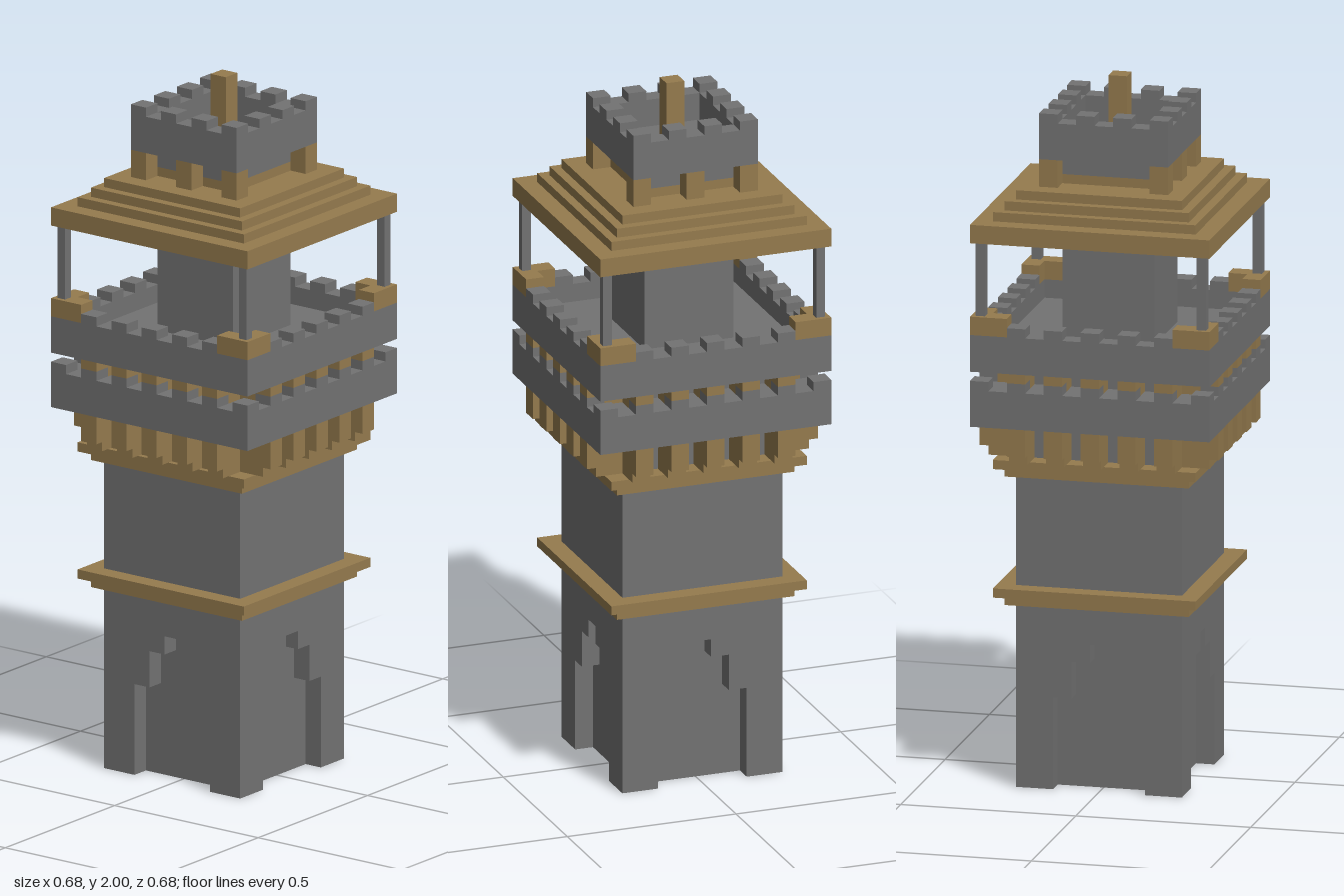
import * as THREE from 'three';

// One block of the stepped masonry
const U = 2 / 76;

export function createModel() {
  const stone = new THREE.MeshStandardMaterial({ color: 0x737373 });
  stone.name = 'greyStone';
  const timber = new THREE.MeshStandardMaterial({ color: 0x957b4e });
  timber.name = 'ochreTimber';

  const tower = new THREE.Group();
  tower.name = 'tower';
  tower.scale.setScalar(U);

  // Box given by its ranges, in blocks
  function box(parent, name, mat, x0, x1, y0, y1, z0, z1) {
    const m = new THREE.Mesh(new THREE.BoxGeometry(x1 - x0, y1 - y0, z1 - z0), mat);
    m.position.set((x0 + x1) / 2, (y0 + y1) / 2, (z0 + z1) / 2);
    m.name = name;
    parent.add(m);
    return m;
  }
  // Centred square slab
  const slab = (name, mat, half, y0, y1) =>
    box(tower, name, mat, -half, half, y0, y1, -half, half);

  const square = (Type, h) => new Type([
    new THREE.Vector2(-h, -h), new THREE.Vector2(h, -h),
    new THREE.Vector2(h, h), new THREE.Vector2(-h, h)]);

  // Square ring with an open middle
  function ring(name, mat, half, inner, y0, y1) {
    const shape = square(THREE.Shape, half);
    shape.holes.push(square(THREE.Path, inner));
    const geo = new THREE.ExtrudeGeometry(shape, { depth: y1 - y0, bevelEnabled: false });
    geo.rotateX(-Math.PI / 2);
    const m = new THREE.Mesh(geo, mat);
    m.position.y = y0;
    m.name = name;
    tower.add(m);
  }

  // Repeat a part on all four sides
  function fourSides(name, build) {
    for (let i = 0; i < 4; i++) {
      const g = new THREE.Group();
      g.name = name;
      g.rotation.y = i * Math.PI / 2;
      build(g, i);
      tower.add(g);
    }
  }

  // Base: core with stepped arch recesses in every face
  slab('baseCore', stone, 7, 0, 16);
  fourSides('archFace', (g, i) => {
    const w = i % 2 ? 7 : 9;
    const pts = [[-w, 0], [-5, 0], [-5, 10], [-3, 10], [-3, 14], [-1, 14], [-1, 16],
      [1, 16], [1, 14], [3, 14], [3, 10], [5, 10], [5, 0], [w, 0], [w, 16.5], [-w, 16.5]];
    const shape = new THREE.Shape(pts.map(p => new THREE.Vector2(...p)));
    const m = new THREE.Mesh(
      new THREE.ExtrudeGeometry(shape, { depth: 2, bevelEnabled: false }), stone);
    m.position.z = 7;
    m.name = 'archWall';
    g.add(m);
  });

  // Shaft and its trims
  slab('shaft', stone, 9, 16.5, 40);
  slab('lowerTrim', timber, 10, 20, 21);
  slab('upperTrim', timber, 11, 21, 22);
  slab('lowerCornice', timber, 10, 34, 35);
  slab('upperCornice', timber, 11, 35, 36);

  // Gallery: floor block, open slot and parapet block
  slab('galleryWall', stone, 13, 40, 44);
  slab('galleryCore', stone, 9, 44, 46);
  slab('terraceFloor', stone, 13, 46, 48);
  ring('parapet', stone, 13, 11, 48, 50);
  fourSides('gallerySide', g => {
    for (const s of [-8, -4, 0, 4, 8]) {
      box(g, 'corbelFoot', timber, s - 1, s + 1, 36, 37, 9, 12);
      box(g, 'corbel', timber, s - 1, s + 1, 37, 40, 9, 13);
      box(g, 'slotMerlon', stone, s - 1, s + 1, 44, 45, 11, 13);
      box(g, 'slotBlock', timber, s - 1, s + 1, 44, 46, 9, 11);
      box(g, 'slotCap', timber, s - 1, s + 1, 45, 46, 11, 13);
      box(g, 'parapetMerlon', stone, s - 1, s + 1, 50, 51, 11, 13);
    }
    // Corner pieces, one corner per side
    box(g, 'cornerMerlon', stone, 11, 13, 44, 45, 11, 13);
    box(g, 'cornerCap', timber, 9, 13, 50, 52, 11, 13);
    box(g, 'cornerCapReturn', timber, 11, 13, 50, 52, 9, 11);
    box(g, 'roofPost', stone, 11.5, 12.5, 52, 60, 11.5, 12.5);
  });

  // Upper shaft and stepped hollow roof
  slab('upperShaft', stone, 5, 48, 64);
  ring('roofEave', timber, 13, 11, 60, 61);
  ring('roofEaveTop', timber, 13, 10, 61, 62);
  ring('roofStep', timber, 11, 9, 62, 63);
  ring('roofStep', timber, 10, 8, 63, 64);
  slab('roofTop', timber, 9, 64, 65);

  // Lantern under the crown
  slab('lanternSill', timber, 5, 65, 66);
  slab('lanternCore', stone, 5, 66, 68);
  fourSides('lanternSide', (g, i) => {
    box(g, 'cornerPillar', timber, 5, 7, 65, 68, 5, 7);
    if (i % 2 === 0) box(g, 'middlePillar', timber, -1, 1, 65, 68, 5, 7);
  });

  // Crown with battlements and mast
  slab('crownFloor', stone, 7, 68, 69);
  ring('crownWall', stone, 7, 5, 69, 72);
  fourSides('crownSide', g => {
    box(g, 'crownCornerMerlon', stone, 5, 7, 72, 73, 5, 7);
    for (const s of [-2, 2]) box(g, 'crownMerlon', stone, s - 1, s + 1, 72, 73, 5, 7);
  });
  box(tower, 'mast', timber, -1, 1, 69, 76, -1, 1);

  const model = new THREE.Group();
  model.name = 'watchtower';
  model.add(tower);
  return model;
}
